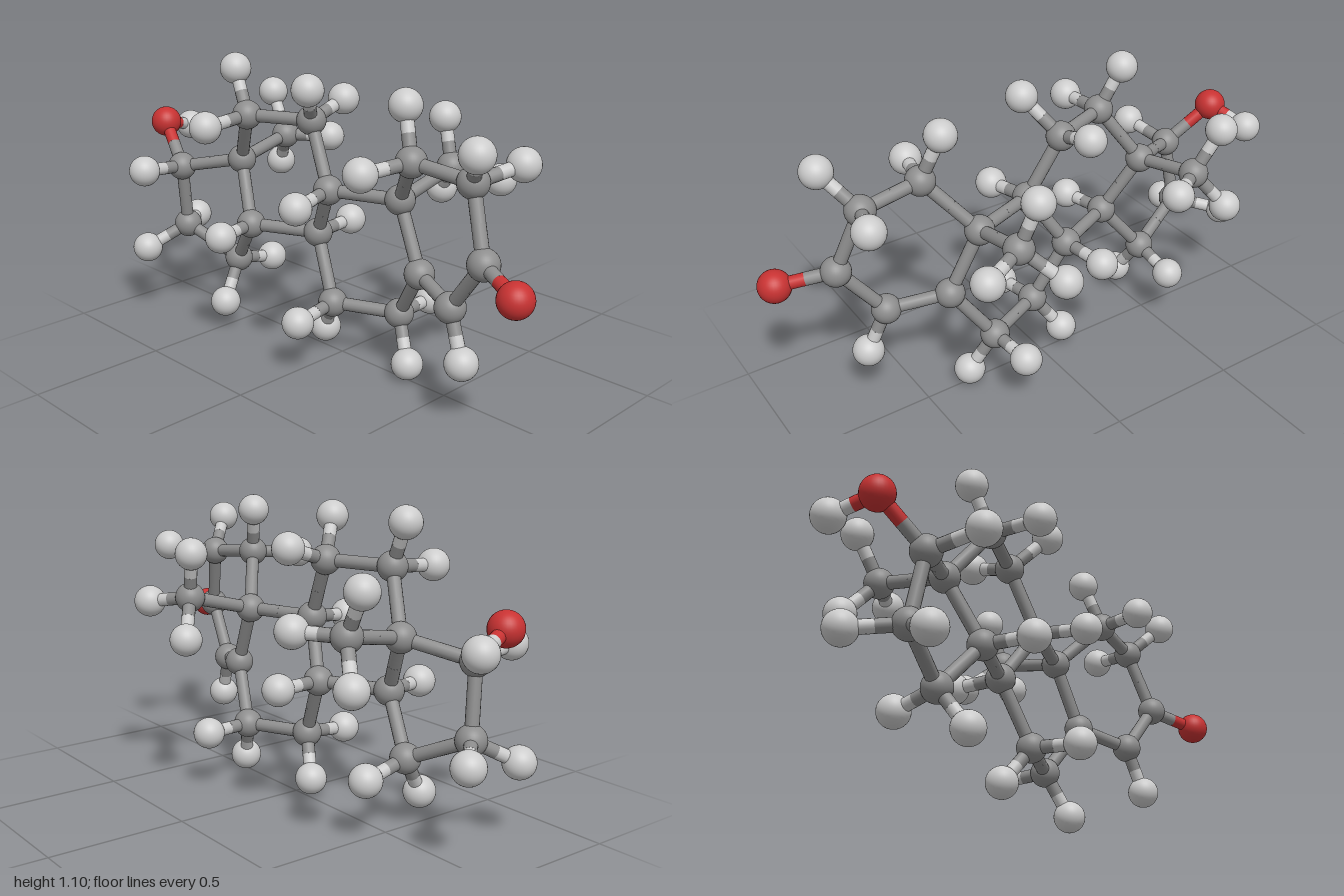
import * as THREE from 'three';

const mat = (name, color) => Object.assign(new THREE.MeshStandardMaterial({ color }), { name });

// Ring, methyl and oxygen atoms: name -> centre
const heavy = {
  C1: [0.42, 0.85, 0.105], C2: [0.657, 0.827, 0.082], C3: [0.747, 0.592, 0.13],
  C4: [0.592, 0.392, 0.095], C5: [0.382, 0.426, 0.008], C6: [0.238, 0.219, -0.052],
  C7: [0.003, 0.222, 0.053], C8: [-0.12, 0.454, 0.008], C9: [0.007, 0.66, 0.078],
  C10: [0.266, 0.661, -0.016], C11: [-0.115, 0.887, 0.042], C12: [-0.355, 0.884, 0.14],
  C13: [-0.495, 0.673, 0.055], C14: [-0.37, 0.454, 0.122], C15: [-0.523, 0.262, 0.062],
  C16: [-0.75, 0.369, 0.136], C17: [-0.724, 0.622, 0.172],
  C18: [-0.533, 0.718, -0.207], C19: [0.275, 0.73, -0.277],
  O3: [0.935, 0.556, 0.217], O17: [-0.895, 0.764, 0.115],
};

// Hydrogens grouped by the atom that carries them
const hydrogens = {
  C1: [[0.375, 0.836, 0.294], [0.355, 1.02, 0.064]],
  C2: [[0.75, 0.952, 0.187], [0.714, 0.86, -0.1]],
  C4: [[0.665, 0.224, 0.118]],
  C6: [[0.323, 0.062, -0.004], [0.225, 0.218, -0.238]],
  C7: [[0.02, 0.203, 0.244], [-0.093, 0.08, -0.003]],
  C8: [[-0.142, 0.456, -0.186]],
  C9: [[0.042, 0.64, 0.268]],
  C11: [[-0.02, 1.025, 0.148], [-0.12, 0.94, -0.126]],
  C12: [[-0.347, 0.87, 0.34], [-0.44, 1.042, 0.118]],
  C14: [[-0.33, 0.452, 0.302]],
  C15: [[-0.489, 0.112, 0.164], [-0.526, 0.222, -0.115]],
  C16: [[-0.884, 0.345, -0.013], [-0.825, 0.284, 0.286]],
  C17: [[-0.692, 0.647, 0.372]],
  C18: [[-0.63, 0.876, -0.23], [-0.378, 0.721, -0.305], [-0.64, 0.577, -0.275]],
  C19: [[0.216, 0.898, -0.305], [0.44, 0.7, -0.35], [0.152, 0.606, -0.373]],
  O17: [[-0.943, 0.717, -0.042]],
};

// Chains of bonded atoms
const chains = [
  'C1 C2 C3 C4 C5 C10 C1', 'C5 C6 C7 C8 C9 C10', 'C9 C11 C12 C13 C14 C8',
  'C14 C15 C16 C17 C13', 'C13 C18', 'C10 C19', 'C3 O3', 'C17 O17',
];

export function createModel() {
  const model = new THREE.Group();
  const kinds = {
    C: { label: 'carbon', radius: 0.054, material: mat('carbon grey', 0x8e8e8e) },
    O: { label: 'oxygen', radius: 0.059, material: mat('oxygen red', 0xc83232) },
    H: { label: 'hydrogen', radius: 0.058, material: mat('hydrogen pale grey', 0xcccccc) },
  };
  for (const k of Object.values(kinds)) k.ball = new THREE.SphereGeometry(k.radius, 32, 20);
  const rod = new THREE.CylinderGeometry(0.024, 0.024, 1, 16, 1, true);
  const up = new THREE.Vector3(0, 1, 0);

  const add = (name, geometry, material) => {
    const mesh = new THREE.Mesh(geometry, material);
    mesh.name = name;
    model.add(mesh);
    return mesh;
  };

  const addAtom = (kind, p) =>
    add(kinds[kind].label + 'Atom', kinds[kind].ball, kinds[kind].material).position.copy(p);

  // Half a bond, from an atom to the midpoint, in that atom's colour
  const addHalf = (kind, from, to) => {
    const dir = to.clone().sub(from);
    const half = add(kinds[kind].label + 'Bond', rod, kinds[kind].material);
    half.position.copy(from).addScaledVector(dir, 0.25);
    half.scale.y = dir.length() / 2;
    half.quaternion.setFromUnitVectors(up, dir.normalize());
  };
  const addBond = (kindA, a, kindB, b) => {
    addHalf(kindA, a, b);
    addHalf(kindB, b, a);
  };

  const at = {};
  for (const [id, p] of Object.entries(heavy)) {
    at[id] = new THREE.Vector3(...p);
    addAtom(id[0], at[id]);
  }

  // Skeleton bonds
  for (const chain of chains) {
    const ids = chain.split(' ');
    for (let i = 1; i < ids.length; i++) {
      addBond(ids[i - 1][0], at[ids[i - 1]], ids[i][0], at[ids[i]]);
    }
  }

  // Hydrogens and their bonds
  for (const [id, list] of Object.entries(hydrogens)) {
    for (const p of list) {
      const h = new THREE.Vector3(...p);
      addAtom('H', h);
      addBond(id[0], at[id], 'H', h);
    }
  }
  return model;
}
